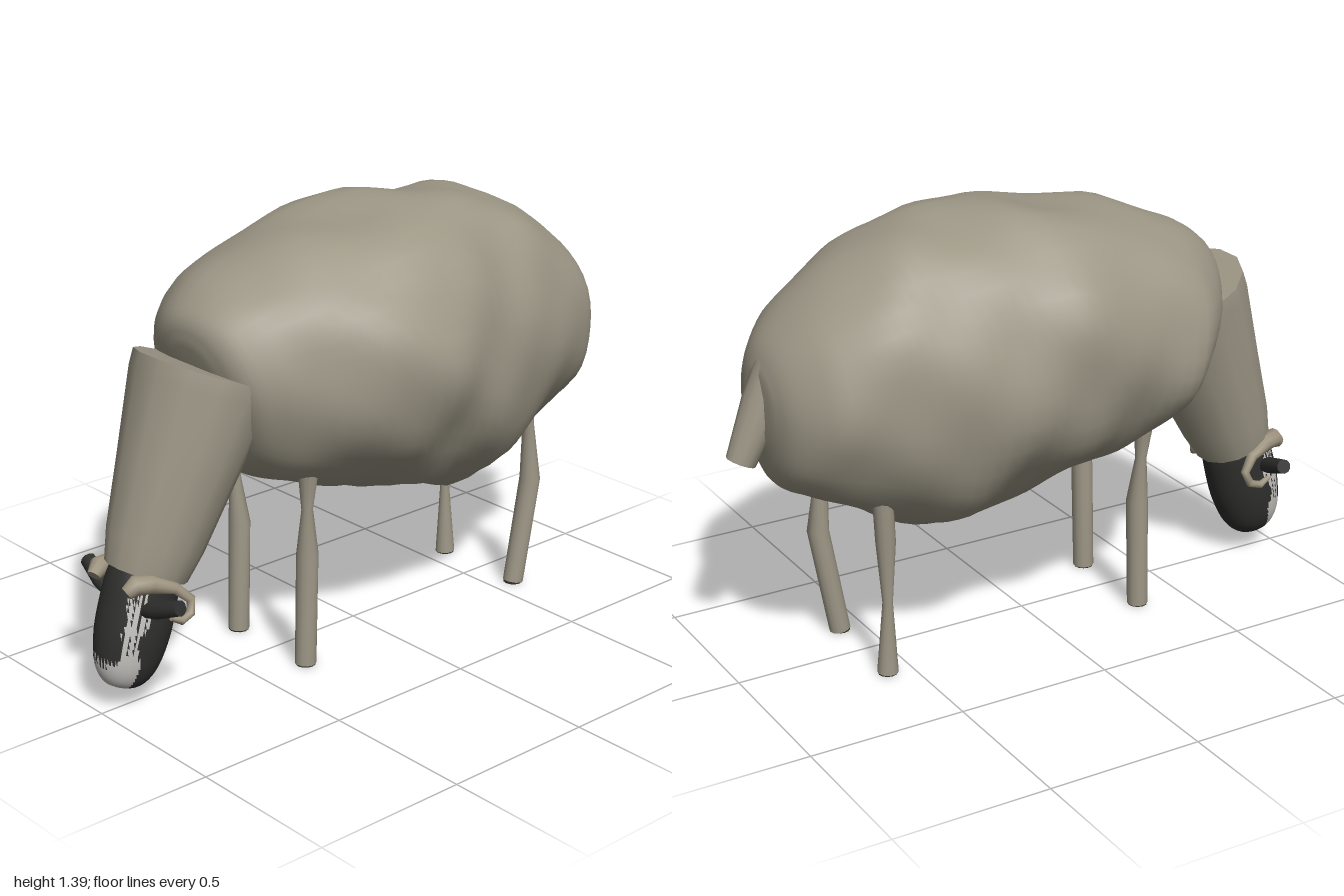
import * as THREE from 'three';

const mat = (name, color) => Object.assign(new THREE.MeshStandardMaterial({ color }), { name });
const wool = mat('wool', 0x9d9786);
const black = mat('black face', 0x2f2f2e);
const pale = mat('pale muzzle', 0xc4c2be);
const hornMat = mat('horn', 0x9b917d);

// Skins a list of closed rings; sharpCaps gives the ends their own vertices
function loft(rings, sharpCaps) {
  const n = rings[0].length, pos = [], idx = [];
  const add = (v) => pos.push(v.x, v.y, v.z) / 3 - 1;
  rings.forEach((r) => r.forEach(add));
  for (let i = 0; i < rings.length - 1; i++) {
    for (let j = 0; j < n; j++) {
      const a = i * n + j, b = i * n + (j + 1) % n;
      idx.push(a, a + n, b, b, a + n, b + n);
    }
  }
  [0, rings.length - 1].forEach((i) => {
    const ring = rings[i], centre = new THREE.Vector3();
    ring.forEach((v) => centre.addScaledVector(v, 1 / n));
    const c = add(centre);
    const ids = ring.map((v, j) => (sharpCaps ? add(v) : i * n + j));
    ids.forEach((id, j) => {
      const next = ids[(j + 1) % n];
      if (i === 0) idx.push(c, id, next);
      else idx.push(c, next, id);
    });
  });
  const g = new THREE.BufferGeometry();
  g.setAttribute('position', new THREE.Float32BufferAttribute(pos, 3));
  g.setIndex(idx);
  g.computeVertexNormals();
  return g;
}

// Round limb through points [x, y, z, radius]
function limb(points, sides = 12, ref = new THREE.Vector3(1, 0, 0)) {
  const p = points.map((a) => new THREE.Vector3(a[0], a[1], a[2]));
  const rings = p.map((c, i) => {
    const d = p[Math.min(i + 1, p.length - 1)].clone().sub(p[Math.max(i - 1, 0)]).normalize();
    const u = ref.clone().addScaledVector(d, -ref.dot(d)).normalize();
    const v = u.clone().cross(d);
    return Array.from({ length: sides }, (_, j) => {
      const a = (j / sides) * Math.PI * 2, r = points[i][3];
      return c.clone().addScaledVector(u, r * Math.cos(a)).addScaledVector(v, r * Math.sin(a));
    });
  });
  return loft(rings, true);
}

// Lumpy fleece from sections [z, right reach, left reach, top, bottom]
function fleece() {
  const keys = [
    [0.605, 0.10, 0.10, 1.07, 0.86], [0.57, 0.23, 0.22, 1.16, 0.67], [0.49, 0.34, 0.28, 1.22, 0.61],
    [0.39, 0.43, 0.33, 1.265, 0.575], [0.22, 0.44, 0.42, 1.335, 0.53], [0.02, 0.465, 0.46, 1.365, 0.485],
    [-0.15, 0.45, 0.445, 1.375, 0.455], [-0.33, 0.425, 0.41, 1.37, 0.40], [-0.5, 0.39, 0.37, 1.345, 0.455],
    [-0.64, 0.35, 0.33, 1.275, 0.53], [-0.77, 0.30, 0.29, 1.175, 0.585],
    [-0.86, 0.20, 0.19, 1.08, 0.64], [-0.9, 0.09, 0.08, 0.99, 0.8],
  ];
  // tufts and hollows as [z, angle, height]
  const tufts = [[-0.07, 2.0, 0.09], [-0.12, 1.15, 0.06], [0.02, 2.6, 0.05], [0.05, 0.12, 0.04],
    [-0.45, 0.9, 0.025], [-0.3, 3.9, -0.03], [0.1, 4.1, -0.03], [0.15, 5.5, -0.03], [-0.6, 4.0, 0.03]];
  const width = new THREE.CatmullRomCurve3(keys.map((k) => new THREE.Vector3(k[1], k[2], 0)));
  const along = new THREE.CatmullRomCurve3(keys.map((k) => new THREE.Vector3(k[3], k[4], k[0])));
  const rings = [], steps = 48, sides = 40;
  for (let i = 0; i <= steps; i++) {
    const t = i / steps, w = width.getPoint(t), s = along.getPoint(t), z = s.z;
    const cy = (s.x + s.y) / 2, h = (s.x - s.y) / 2, ring = [];
    for (let j = 0; j < sides; j++) {
      const a = (j / sides) * Math.PI * 2, c = Math.cos(a);
      let lump = 1 + Math.sin(Math.PI * t) * (0.012 * Math.sin(3 * a + 9 * z)
        + 0.015 * Math.sin(7 * a - 13 * z + 1) + 0.012 * Math.sin(5 * a + 21 * z + 2));
      for (const [tz, ta, height] of tufts) {
        const da = Math.atan2(Math.sin(a - ta), Math.cos(a - ta));
        lump += height * Math.exp(-(((z - tz) / 0.14) ** 2) - (da / 0.3) ** 2);
      }
      const y = cy + h * lump * Math.sin(a);
      // fuller flanks, widest a little above the middle
      const x = Math.sign(c) * Math.abs(c) ** 0.93 * (c > 0 ? w.y : w.x) * lump * (1 + 0.05 * Math.sin(a));
      // the chest leans forward at the top
      ring.push(new THREE.Vector3(x, y, z + 0.27 * Math.max(0, z / 0.6) * (y - 0.9)));
    }
    rings.push(ring);
  }
  return loft(rings, false);
}

// Head with a ragged pale band on each cheek and a pale muzzle
function headGeometry() {
  const profile = new THREE.SplineCurve([
    [0, -0.205], [0.06, -0.19], [0.1, -0.135], [0.12, -0.04],
    [0.122, 0.06], [0.115, 0.15], [0.09, 0.2], [0, 0.21],
  ].map((q) => new THREE.Vector2(...q))).getPoints(32);
  profile.forEach((q) => { q.x = Math.max(q.x, 0); });
  const g = new THREE.LatheGeometry(profile, 96);
  const p = g.attributes.position, old = g.index.array, parts = [[], []];
  for (let f = 0; f < old.length; f += 3) {
    const tri = [old[f], old[f + 1], old[f + 2]];
    const mean = (get) => tri.reduce((s, i) => s + get(i) / 3, 0);
    const x = mean((i) => p.getX(i)), y = mean((i) => p.getY(i)), z = mean((i) => p.getZ(i));
    const phi = Math.atan2(Math.abs(x), z), jag = Math.sin(phi * 50);
    const streak = y > -0.09 && Math.sin(phi * 36 + y * 9) > 0.75;
    const cheek = phi > 0.74 + 0.06 * Math.sin(y * 60) && phi < 1.28 + 0.1 * Math.sin(y * 45)
      && y < 0.11 + 0.05 * jag && !streak;
    const muzzle = y < -0.122 + 0.015 * jag + 0.015 * Math.abs(x) / 0.1 && phi < 1.4;
    parts[cheek || muzzle ? 1 : 0].push(...tri);
  }
  g.setIndex([...parts[0], ...parts[1]]);
  g.clearGroups();
  g.addGroup(0, parts[0].length, 0);
  g.addGroup(parts[0].length, parts[1].length, 1);
  g.scale(0.85, 1, 1);
  return g;
}

export function createModel() {
  const model = new THREE.Group();
  model.name = 'grazingSheep';
  const add = (name, geometry, material) => {
    const m = new THREE.Mesh(geometry, material);
    m.name = name;
    model.add(m);
    return m;
  };

  add('fleece', fleece(), wool);
  add('neck', limb([[0, 0.99, 0.58, 0.22], [0, 0.942, 0.6, 0.218], [0, 0.7, 0.7, 0.18],
    [0, 0.5, 0.783, 0.15], [0, 0.41, 0.82, 0.128]], 14), wool);
  add('tail', limb([[0, 1.0, -0.83, 0.066], [0, 0.9, -0.876, 0.064], [0, 0.72, -0.957, 0.046]]), wool);

  const head = add('head', headGeometry(), [black, pale]);
  head.position.set(0, 0.26, 0.87);
  head.rotation.x = -0.28;

  // Ears and curled horns
  for (const s of [1, -1]) {
    const side = s > 0 ? 'left' : 'right';
    add(side + 'Ear', limb([[0.08 * s, 0.33, 0.89, 0.02], [0.135 * s, 0.35, 0.885, 0.028],
      [0.228 * s, 0.384, 0.868, 0.024]], 10, new THREE.Vector3(0, 1, 0)), black);
    const curl = [[0.082, 0.405, 0.95, 0.022], [0.09, 0.425, 0.925, 0.032], [0.105, 0.42, 0.875, 0.029],
      [0.13, 0.395, 0.81, 0.018], [0.15, 0.355, 0.77, 0.015], [0.163, 0.318, 0.783, 0.014],
      [0.168, 0.307, 0.82, 0.013], [0.165, 0.325, 0.855, 0.008]];
    add(side + 'Horn', limb(curl.map(([x, y, z, r]) => [x * s, y, z, r]), 10), hornMat);
  }

  // Legs, each pinched part of the way up
  const legs = {
    frontLeftLeg: [[0.17, 0.68, 0.33, 0.036], [0.162, 0.52, 0.33, 0.018], [0.155, 0.37, 0.325, 0.035], [0.155, 0.004, 0.335, 0.034]],
    frontRightLeg: [[-0.2, 0.68, 0.33, 0.036], [-0.185, 0.52, 0.33, 0.018], [-0.175, 0.37, 0.325, 0.035], [-0.175, 0.004, 0.335, 0.034]],
    backLeftLeg: [[0.17, 0.68, -0.6, 0.03], [0.165, 0.55, -0.622, 0.02], [0.16, 0.36, -0.642, 0.035], [0.155, 0.004, -0.58, 0.034]],
    backRightLeg: [[-0.2, 0.68, -0.6, 0.032], [-0.19, 0.45, -0.585, 0.031], [-0.178, 0.24, -0.577, 0.016], [-0.175, 0.004, -0.58, 0.033]],
  };
  for (const [name, points] of Object.entries(legs)) {
    add(name, limb(points), wool);
    const [x, , z, r] = points[points.length - 1];
    const sole = add(name + 'Sole', new THREE.CylinderGeometry(r * 0.95, r * 0.95, 0.006, 12), black);
    sole.position.set(x, 0.003, z);
  }
  return model;
}
